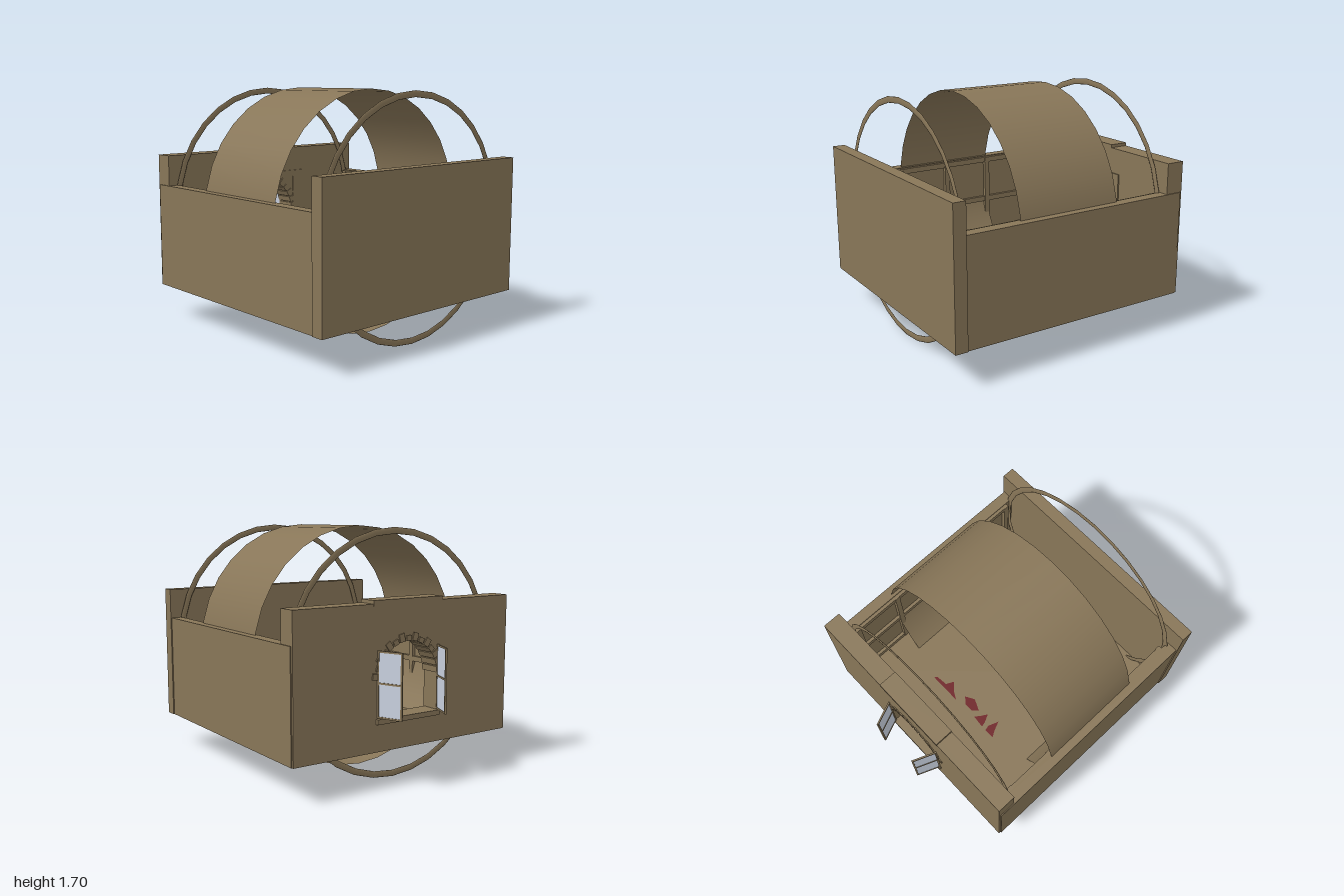
import * as THREE from 'three';

export function createModel() {
  const model = new THREE.Group();
  const stone = new THREE.MeshStandardMaterial({ color: 0x887658, side: THREE.DoubleSide });
  const glass = new THREE.MeshStandardMaterial({ color: 0xc8d0de, side: THREE.DoubleSide });
  const red = new THREE.MeshStandardMaterial({ color: 0x6e2024, side: THREE.DoubleSide });
  stone.name = 'stone brown';
  glass.name = 'pale glass';
  red.name = 'dark red';

  const add = (name, geometry, material = stone, parent = model) => {
    const mesh = new THREE.Mesh(geometry, material);
    mesh.name = name;
    parent.add(mesh);
    return mesh;
  };
  // box given by its minimum and maximum corners
  const box = (name, [x0, y0, z0], [x1, y1, z1], material = stone, parent = model) => {
    const mesh = add(name, new THREE.BoxGeometry(x1 - x0, y1 - y0, z1 - z0), material, parent);
    mesh.position.set((x0 + x1) / 2, (y0 + y1) / 2, (z0 + z1) / 2);
    return mesh;
  };
  const polygon = (points) => new THREE.Shape(points.map(([x, y]) => new THREE.Vector2(x, y)));

  // floor and walls
  box('floor', [-0.885, 0.25, -0.82], [0.885, 0.28, 0.99]);
  box('frontWall', [-0.9, 0.25, 0.91], [0.9, 1.212, 1]);
  for (const s of [-1, 1]) {
    const side = box('sideWall', [0.81, 0.25, -0.81], [0.892, 0.997, 0.95]);
    side.position.x *= s;
    // timber framing along the inside of the wall
    for (const z of [-0.64, -0.27, 0.1, 0.47, 0.83]) {
      box('wallPost', [0.782, 0.28, z - 0.02], [0.812, 0.99, z + 0.02]).position.x *= s;
    }
    for (const y of [0.3, 0.64, 0.97]) {
      box('wallRail', [0.786, y - 0.02, -0.66], [0.812, y + 0.02, 0.85]).position.x *= s;
    }
  }

  // back wall with an arched window opening
  const wallShape = polygon([[-0.885, 0.25], [0.885, 0.25], [0.885, 1.215], [-0.885, 1.215]]);
  const spring = 0.72, radius = 0.25, sill = 0.46;
  const opening = new THREE.Path();
  opening.moveTo(-radius, sill);
  opening.lineTo(-radius, spring);
  opening.absarc(0, spring, radius, Math.PI, 0, true);
  opening.lineTo(radius, sill);
  opening.closePath();
  wallShape.holes.push(opening);
  const wall = add('backWall', new THREE.ExtrudeGeometry(wallShape, { depth: 0.135, bevelEnabled: false, curveSegments: 20 }));
  wall.position.z = -0.825;
  box('parapet', [-0.285, 1.2, -0.828], [0.285, 1.238, -0.69]);
  box('windowSill', [-0.26, sill - 0.025, -0.845], [0.26, sill + 0.01, -0.7]);

  // stones around the arch, alternating in length
  const stones = 15;
  for (let i = 0; i < stones; i++) {
    const a = ((i + 0.5) / stones) * Math.PI;
    const length = i % 2 ? 0.035 : 0.055;
    const r = radius - 0.01 + length / 2;
    const block = add('archStone', new THREE.BoxGeometry(length, 0.042, 0.15));
    block.position.set(r * Math.cos(a), spring + r * Math.sin(a), -0.758);
    block.rotation.z = a;
  }
  // inner trim around the opening
  for (const s of [-1, 1]) {
    box('innerJamb', [0.26, 0.28, -0.695], [0.38, 1.02, -0.68]).position.x *= s;
  }
  box('innerLintel', [-0.38, 0.98, -0.695], [0.38, 1.03, -0.68]);

  // open casements
  for (const s of [-1, 1]) {
    const leaf = new THREE.Group();
    leaf.name = 'casement';
    const w = 0.182, h = 0.44, t = 0.006;
    for (const x of [t, w - t]) box('casementStile', [x - t, 0, -t], [x + t, h, t], stone, leaf);
    for (const y of [t, h * 0.52, h - t]) box('casementRail', [0, y - t, -t], [w, y + t, t], stone, leaf);
    box('pane', [t, t, -0.002], [w - t, h - t, 0.002], glass, leaf);
    leaf.position.set(s * 0.25, 0.477, -0.825);
    leaf.rotation.y = Math.atan2(0.17, -s * 0.07);
    model.add(leaf);
  }

  // open barrel vault passing through the floor
  const barrel = add('barrel', new THREE.CylinderGeometry(0.848, 0.848, 0.77, 32, 1, true));
  barrel.rotation.x = Math.PI / 2;
  barrel.position.set(0, 0.85, 0.1);

  // flattened hoops at both ends
  for (const z of [0.885, -0.67]) {
    const hoop = add('hoop', new THREE.TorusGeometry(0.82, 0.022, 8, 32));
    hoop.scale.z = 0.2;
    hoop.position.set(0, 0.85, z);
  }

  // red patches on top of the floor, drawn as x against z
  const patches = [
    [[-0.32, -0.36], [-0.24, -0.36], [-0.23, -0.32], [-0.26, -0.24], [-0.29, -0.31]],
    [[-0.2, -0.36], [-0.1, -0.35], [-0.13, -0.31], [-0.16, -0.26], [-0.19, -0.32]],
    [[-0.09, -0.29], [-0.05, -0.33], [0.02, -0.33], [0.07, -0.29], [0, -0.25]],
    [[0.1, -0.36], [0.36, -0.36], [0.34, -0.34], [0.25, -0.33], [0.22, -0.27], [0.17, -0.32]],
  ];
  for (const points of patches) {
    const patch = add('floorPatch', new THREE.ShapeGeometry(polygon(points)), red);
    patch.rotation.x = Math.PI / 2;
    patch.position.y = 0.284;
  }
  // larger broken patch on the underside
  const under = polygon([[-0.31, -0.42], [-0.14, -0.52], [-0.02, -0.48], [0.1, -0.59], [0.27, -0.57], [0.24, -0.47],
    [0.36, -0.4], [0.36, -0.24], [0.24, -0.2], [0.12, -0.08], [-0.08, -0.06], [-0.18, -0.16], [-0.3, -0.2]]);
  for (const [x, z, r] of [[0.16, -0.33, 0.07], [-0.1, -0.33, 0.06]]) {
    const hole = new THREE.Path();
    hole.absellipse(x, z, r, r * 0.7, 0, Math.PI * 2, true);
    under.holes.push(hole);
  }
  const underPatch = add('undersidePatch', new THREE.ShapeGeometry(under), red);
  underPatch.rotation.x = Math.PI / 2;
  underPatch.position.y = 0.246;

  return model;
}
